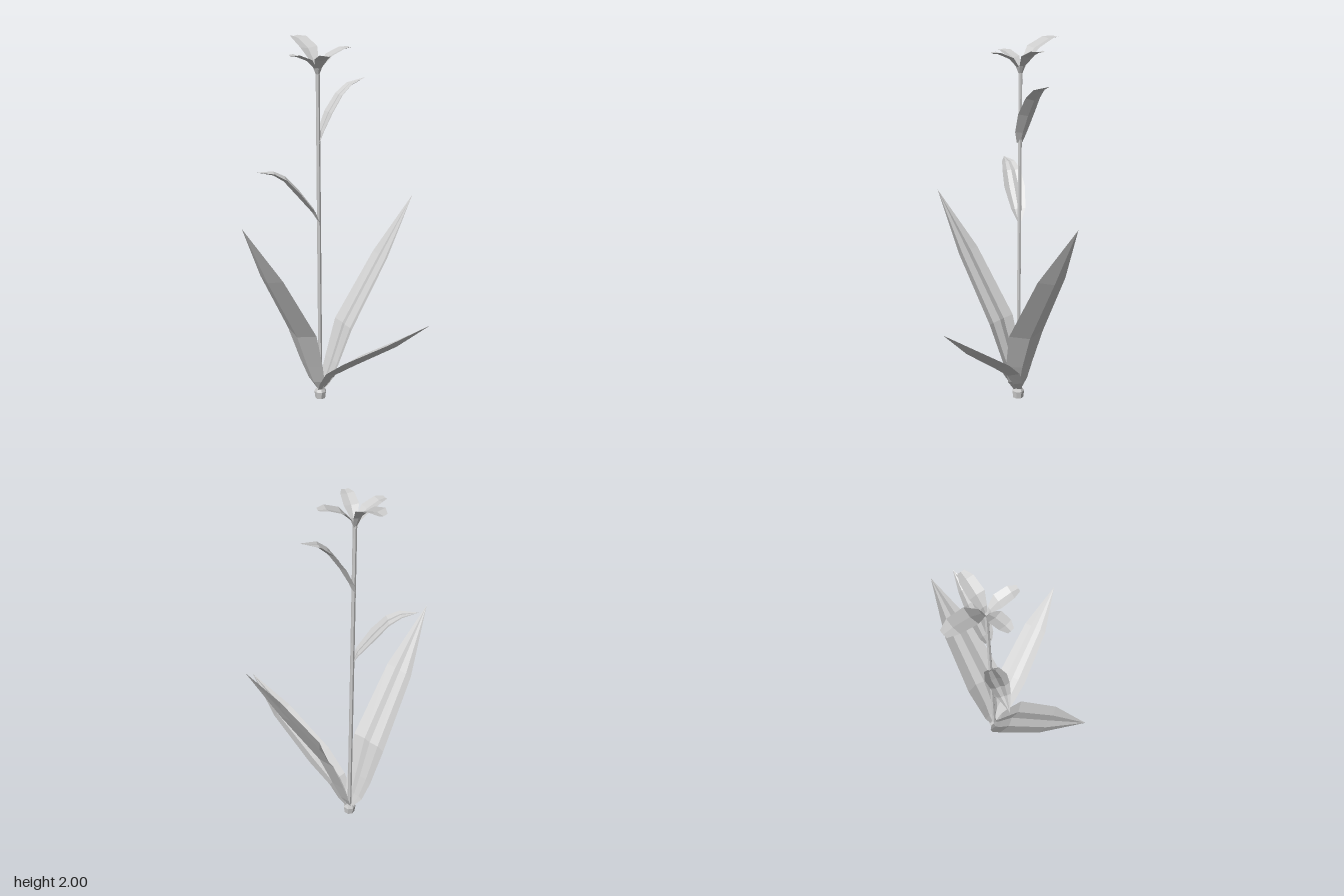
import * as THREE from 'three';

const material = new THREE.MeshStandardMaterial({ color: 0xcccccc, flatShading: true, side: THREE.DoubleSide });

// Cross-sections as [side, lift], in units of the half width
const pleated = [[1, 0.22], [0.45, 0.02], [0, 0.14], [-0.45, 0.02], [-1, 0.22], [0, -0.19]];
const folded = [[1, 0.2], [0, 0], [-1, 0.2], [0, -0.08]];

// Blade swept along stations [distance from stem, height, half width], turned towards (dx, dz).
// The bow shifts the middle of the blade sideways.
function blade(name, dx, dz, stations, section, bow = 0) {
  const positions = [], index = [];
  const n = section.length, last = stations.length - 1;
  stations.forEach(([r, y, w], i) => {
    const a = stations[Math.max(i - 1, 0)], b = stations[Math.min(i + 1, last)];
    const tangent = new THREE.Vector2(b[0] - a[0], b[1] - a[1]).normalize();
    const shift = bow * Math.sin(Math.PI * i / last);
    for (const [side, lift] of section) {
      positions.push(r - tangent.y * lift * w, y + tangent.x * lift * w, side * w + shift);
    }
    if (i === 0) return;
    for (let j = 0; j < n; j++) {
      const k = (j + 1) % n, p = (i - 1) * n, q = i * n;
      index.push(p + j, q + j, q + k, p + j, q + k, p + k);
    }
  });
  const geometry = new THREE.BufferGeometry();
  geometry.setAttribute('position', new THREE.Float32BufferAttribute(positions, 3));
  geometry.setIndex(index);
  const flat = geometry.toNonIndexed();
  flat.computeVertexNormals();
  const mesh = new THREE.Mesh(flat, material);
  mesh.name = name;
  mesh.rotation.y = Math.atan2(-dz, dx);
  return mesh;
}

function cylinder(name, top, bottom, y0, y1, sides) {
  const mesh = new THREE.Mesh(new THREE.CylinderGeometry(top, bottom, y1 - y0, sides), material);
  mesh.name = name;
  mesh.position.y = (y0 + y1) / 2;
  return mesh;
}

export function createModel() {
  const plant = new THREE.Group();
  plant.name = 'plant';
  plant.position.set(-0.245, 0, -0.033);

  // Bulb and stalk
  plant.add(cylinder('bulb', 0.026, 0.034, 0.04, 0.055, 7));
  plant.add(cylinder('bulbFoot', 0.034, 0.029, 0, 0.04, 7));
  plant.add(cylinder('stalk', 0.011, 0.011, 0.04, 1.83, 6));

  // Large leaves at the ground
  const tall = [[0.0, 0.04, 0.02], [0.035, 0.11, 0.062], [0.075, 0.22, 0.085],
    [0.15, 0.42, 0.108], [0.375, 0.79, 0.085], [0.57, 1.12, 0]];
  plant.add(blade('frontLeaf', -0.042, 0.567, tall, pleated, 0.014));
  plant.add(blade('backLeaf', 0.265, -0.502, tall, pleated, 0.03));
  plant.add(blade('sideLeaf', 1, 0, [[0, 0.04, 0.02], [0.045, 0.1, 0.05], [0.1, 0.175, 0.064],
    [0.235, 0.27, 0.081], [0.51, 0.445, 0.064], [0.725, 0.605, 0]], pleated));

  // Small leaves on the stalk
  plant.add(blade('lowerStalkLeaf', -0.225, 0.24, [[0, 1.03, 0.012], [0.03, 1.09, 0.04],
    [0.11, 1.19, 0.058], [0.18, 1.27, 0.05], [0.24, 1.305, 0.035], [0.33, 1.318, 0]], pleated));
  plant.add(blade('upperStalkLeaf', 0.125, -0.245, [[0, 1.46, 0.018], [0.02, 1.52, 0.038],
    [0.07, 1.62, 0.05], [0.13, 1.71, 0.045], [0.185, 1.76, 0.035], [0.28, 1.795, 0]], pleated));

  // Flower: [direction x, direction z, length, tip height, half width]
  const petals = [[-0.225, -0.08, 0.242, 2.0, 0.052], [0.135, 0.085, 0.165, 1.94, 0.038],
    [-0.052, 0.155, 0.165, 1.935, 0.04], [0.078, -0.168, 0.19, 1.955, 0.042]];
  petals.forEach(([dx, dz, length, tip, w], i) => {
    const rise = tip - 1.81;
    plant.add(blade('petal' + (i + 1), dx, dz, [[0, 1.81, 0.006], [length * 0.12, 1.81 + rise * 0.4, w * 0.45],
      [length * 0.38, 1.81 + rise * 0.75, w], [length * 0.78, 1.81 + rise * 0.97, w * 0.9],
      [length, tip, w * 0.45]], folded));
  });

  const model = new THREE.Group();
  model.name = 'floweringPlant';
  model.add(plant);
  return model;
}
